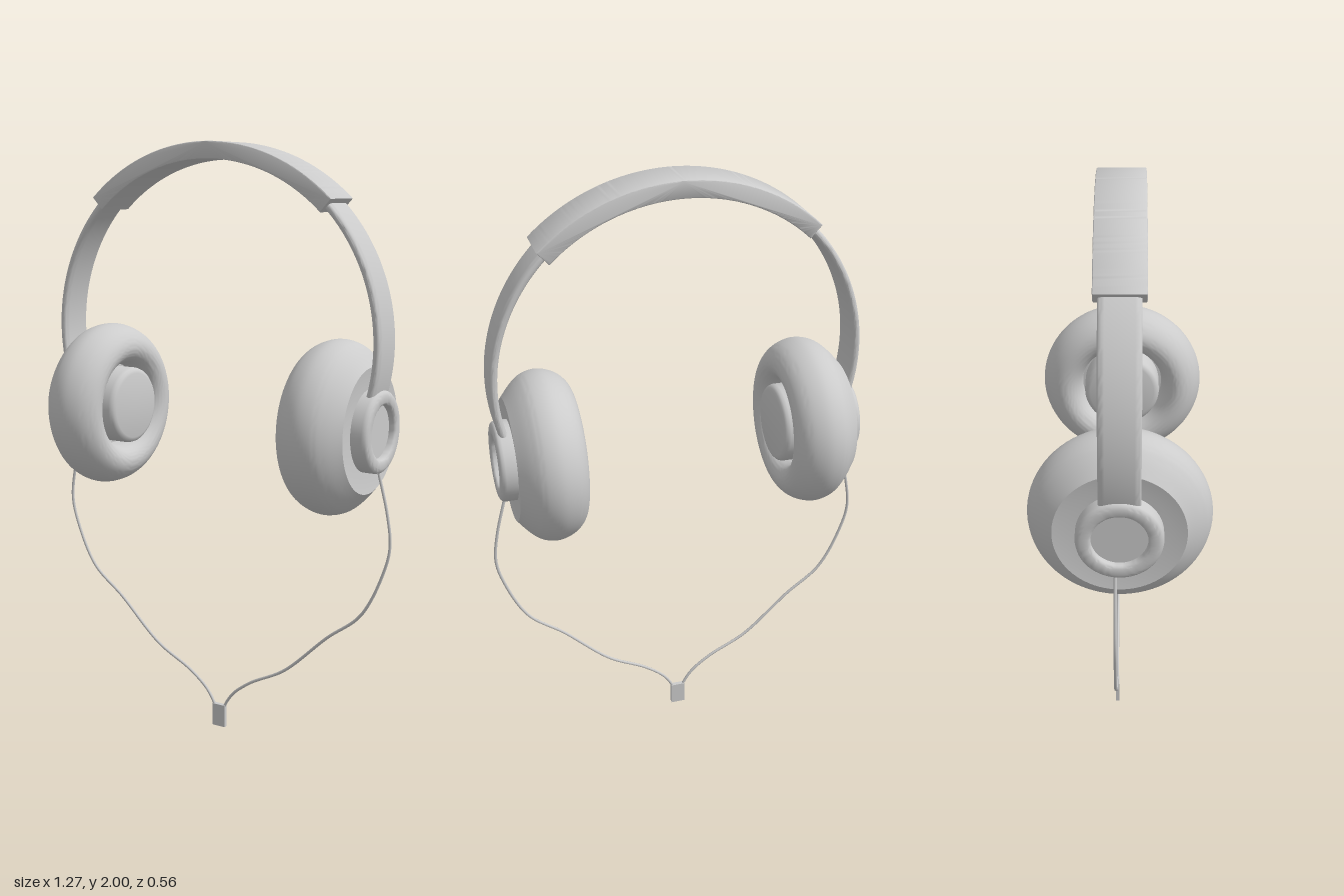
import * as THREE from 'three';
import { toCreasedNormals } from 'three/addons/utils/BufferGeometryUtils.js';

const material = new THREE.MeshStandardMaterial({ color: 0xcccccc });
const CUP_Y = 1.115;

function mesh(name, geometry) {
  const m = new THREE.Mesh(geometry, material);
  m.name = name;
  return m;
}

// Revolves [radius, x] points around the x axis
function turned(name, profile, segments = 64) {
  const points = profile.map(([r, x]) => new THREE.Vector2(r, x));
  const geometry = new THREE.LatheGeometry(points, segments).rotateZ(-Math.PI / 2);
  return mesh(name, toCreasedNormals(geometry, 0.6));
}

// Bent strip in the xy plane, spanning the given angle either side of the top
function arcBand(name, centreY, inner, outer, halfAngle, width, edge, round) {
  const a = Math.PI / 2 - halfAngle, b = Math.PI / 2 + halfAngle;
  const shape = new THREE.Shape();
  shape.absarc(0, 0, outer - edge, a, b, false);
  shape.absarc(0, 0, inner + edge, b, a, true);
  shape.closePath();
  const depth = width - 2 * round;
  const geometry = new THREE.ExtrudeGeometry(shape, {
    depth, curveSegments: 64, bevelEnabled: true,
    bevelSize: edge, bevelThickness: round, bevelSegments: 4,
  });
  geometry.translate(0, centreY, -depth / 2);
  return mesh(name, toCreasedNormals(geometry, 0.6));
}

function earCup(name) {
  const cup = new THREE.Group();
  cup.name = name;

  // Soft ring: rounded towards the head, bevelled to a flat back
  const curve = new THREE.SplineCurve([
    [0.14, 0.43], [0.147, 0.385], [0.165, 0.355], [0.195, 0.341], [0.23, 0.35],
    [0.262, 0.383], [0.279, 0.435], [0.27, 0.485], [0.243, 0.522], [0.2, 0.56],
  ].map(([r, x]) => new THREE.Vector2(r, x)));
  const ring = curve.getPoints(48).map(p => [p.x, p.y]);
  cup.add(turned('earCushion', [[0, 0.43], ...ring, [0.15, 0.552], [0, 0.552]], 80));

  // Speaker pad inside the ring
  cup.add(turned('speakerPad', [
    [0, 0.335], [0.112, 0.335], [0.121, 0.338], [0.128, 0.345], [0.131, 0.355], [0.131, 0.44],
  ]));

  // Outer hub with a recessed centre
  cup.add(turned('hub', [
    [0.131, 0.54], [0.131, 0.588], [0.129, 0.597], [0.123, 0.603], [0.115, 0.606],
    [0.094, 0.606], [0.088, 0.603], [0.085, 0.598], [0.085, 0.583], [0, 0.583],
  ]));

  cup.position.y = CUP_Y;
  return cup;
}

// Cord from the hub down to the joint, on the side given by sign
function cord(name, sign) {
  const path = new THREE.CatmullRomCurve3([
    [0.575, 1.02], [0.588, 0.97], [0.618, 0.85], [0.63, 0.75], [0.612, 0.665],
    [0.535, 0.505], [0.415, 0.405], [0.255, 0.257], [0.124, 0.185],
    [0.055, 0.13], [0.022, 0.08], [0.016, 0.06],
  ].map(([x, y]) => new THREE.Vector3(sign * x, y, -0.013)));
  return mesh(name, new THREE.TubeGeometry(path, 120, 0.005, 8));
}

export function createModel() {
  const model = new THREE.Group();
  model.name = 'headphones';

  // Thin spring band with a padded sleeve over the top
  model.add(arcBand('springBand', 1.38, 0.584, 0.611, 1.87, 0.125, 0.011, 0.02));
  model.add(arcBand('headPad', 1.35, 0.595, 0.65, 0.75, 0.153, 0.004, 0.004));

  const leftCup = earCup('leftEarCup');
  const rightCup = earCup('rightEarCup');
  rightCup.rotation.y = Math.PI;
  model.add(leftCup, rightCup);

  // Cords meeting at a small flat joint
  model.add(cord('leftCord', 1), cord('rightCord', -1));
  const joint = mesh('cordJoint', new THREE.BoxGeometry(0.05, 0.08, 0.014));
  joint.position.set(0, 0.04, -0.013);
  model.add(joint);

  return model;
}
